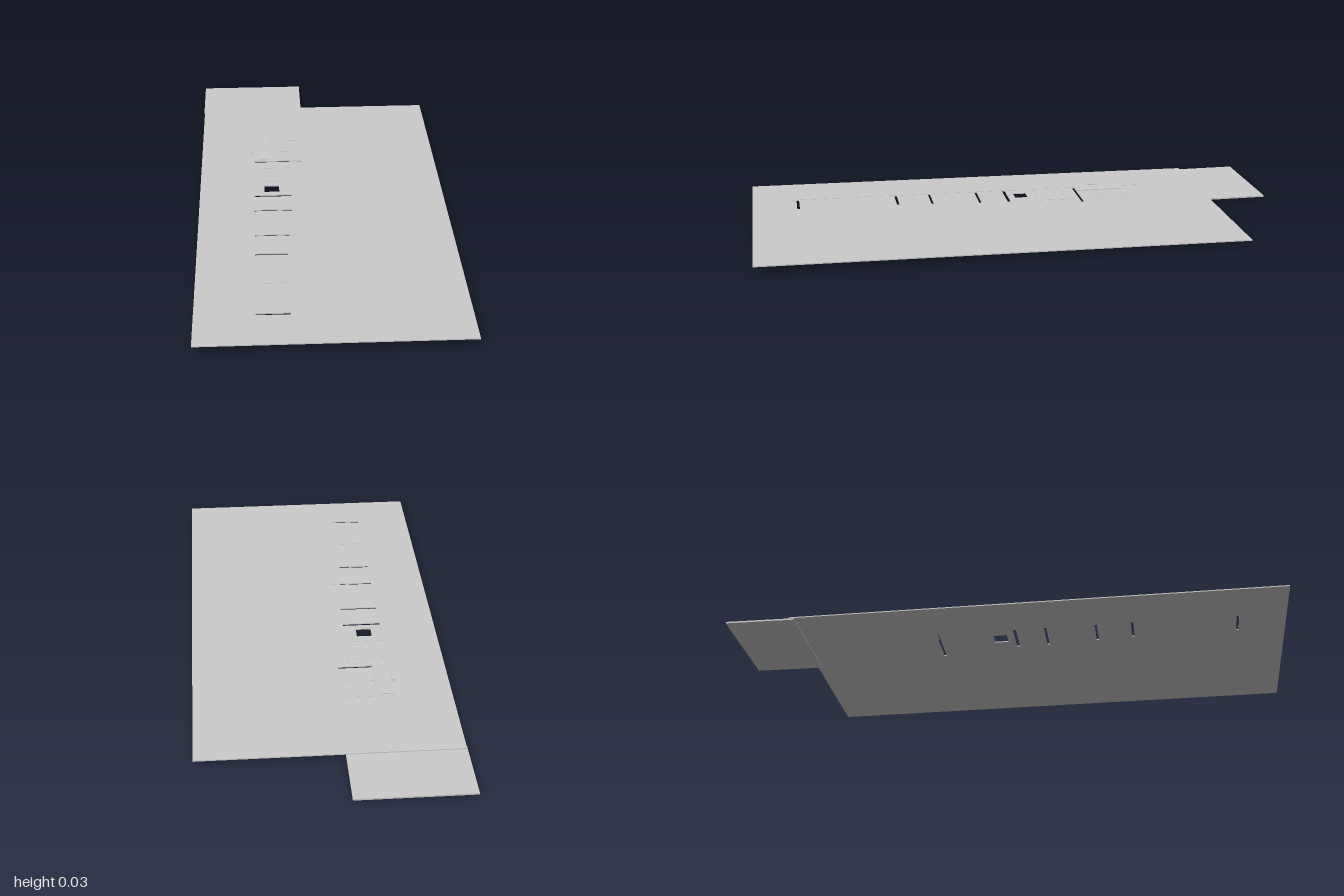
import * as THREE from 'three';

const material = new THREE.MeshStandardMaterial({ color: 0xcccccc, flatShading: true, side: THREE.DoubleSide });

// Height of the gently sloping top surface at depth z
const surfaceY = z => 0.012 + (z + 0.77) * 0.0102;

// Corners of a rectangle on the ground plan, drawn as (x, -z)
const rect = (x0, x1, z0, z1) =>
  [[x0, -z0], [x1, -z0], [x1, -z1], [x0, -z1]].map(p => new THREE.Vector2(...p));

// Flat slab hanging below y = top, with optional rectangular cut-outs
function slab(name, outline, thickness, top, holes = []) {
  const shape = new THREE.Shape(rect(...outline));
  for (const h of holes) shape.holes.push(new THREE.Path(rect(...h)));
  const geometry = new THREE.ExtrudeGeometry(shape, { depth: thickness, bevelEnabled: false });
  geometry.rotateX(-Math.PI / 2).translate(0, top - thickness, 0);
  const mesh = new THREE.Mesh(geometry, material);
  mesh.name = name;
  return mesh;
}

// Tilt a slab so that it follows the slope
function slope(mesh) {
  const p = mesh.geometry.attributes.position;
  for (let i = 0; i < p.count; i++) p.setY(i, p.getY(i) + surfaceY(p.getZ(i)));
  mesh.geometry.computeVertexNormals();
  return mesh;
}

export function createModel() {
  const group = new THREE.Group();
  group.name = 'slopingFloor';

  // Main floor with a square shaft and narrow cross slots: [right end, z, width]
  const slots = [
    [-0.07, -0.267, 0.01], [-0.115, 0.017, 0.012], [-0.115, 0.13, 0.01],
    [-0.13, 0.315, 0.009], [-0.14, 0.447, 0.01], [-0.14, 0.827, 0.01],
  ].map(([x, z, w]) => [-0.256, x, z - w / 2, z + w / 2]);
  const shaft = [-0.217, -0.16, -0.065, -0.015];
  group.add(slope(slab('mainFloor', [-0.462, 0.462, -0.77, 1], 0.004, 0, [shaft, ...slots])));

  // Lower level landing behind the main floor
  group.add(slab('rearLanding', [-0.465, -0.052, -1, -0.75], 0.006, 0.006));

  // Thin seams standing just proud of the floor
  const seams = [
    [-0.258, -0.255, -0.56, 0.825],
    [-0.255, -0.075, -0.452, -0.449], [-0.195, -0.075, -0.358, -0.355],
    [-0.255, -0.115, -0.212, -0.209], [-0.255, -0.11, -0.102, -0.099],
    [-0.113, -0.11, -0.26, -0.1], [-0.13, -0.075, 0.317, 0.32],
    [-0.255, -0.135, 0.636, 0.639],
  ];
  for (const s of seams) group.add(slope(slab('floorSeam', s, 0.002, 0.001)));

  // Small raised platform beside the seam, with a short block on top
  group.add(slab('raisedPlatform', [-0.258, -0.194, -0.45, -0.27], 0.003, 0.025));
  group.add(slab('platformBlock', [-0.265, -0.255, -0.37, -0.33], 0.01, 0.028));

  return group;
}
